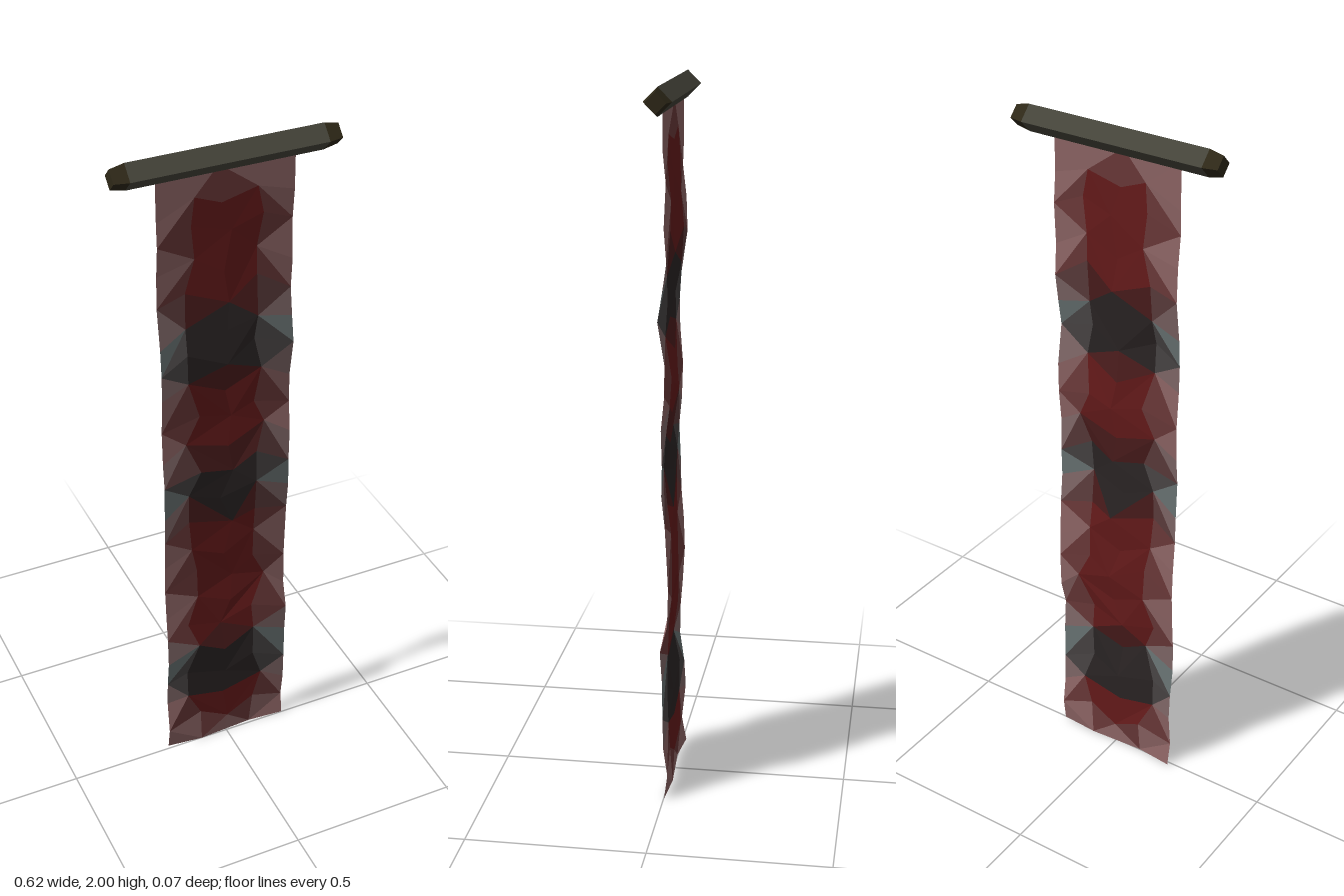
import * as THREE from 'three';

const HALF_W = 0.192, TOP = 1.945, ROWS = 21;

// Small seeded random in -1..1
function seeded(seed) {
  let s = seed;
  return () => ((s = (s * 16807) % 2147483647) / 2147483647) * 2 - 1;
}

// Depth of the cloth's ripples from bottom to top: [y, z]
const RIPPLE = [[0, -0.004], [0.2, -0.004], [0.37, 0.011], [0.6, -0.008], [0.8, 0], [0.95, 0.011],
  [1.18, -0.005], [1.37, 0.01], [1.55, -0.007], [1.75, -0.002], [1.84, 0], [TOP, 0]];

function rippleAt(y) {
  const i = Math.max(1, RIPPLE.findIndex((p) => p[0] >= y));
  const [y0, z0] = RIPPLE[i - 1], [y1, z1] = RIPPLE[i];
  return THREE.MathUtils.lerp(z0, z1, THREE.MathUtils.smoothstep(y, y0, y1));
}

// Faded cloth: rows are stain level, columns are number of hem corners
const COLORS = [
  [0x641a1a, 0x693838, 0x8c6464],
  [0x4a1c1c, 0x5c3c3c, 0x7e6666],
  [0x2a2424, 0x474343, 0x687272],
];
const STAINS = [0.28, 0.97, 1.43];

function createBanner() {
  const banner = new THREE.Group();
  banner.name = 'banner';
  const rand = seeded(4211);

  // Jittered grid of cloth points; the hem stays straight
  const columns = [-HALF_W, -0.105, 0, 0.105, HALF_W];
  const grid = [];
  for (let r = 0; r <= ROWS; r++) {
    grid.push(columns.map((cx, c) => {
      const side = c === 0 || c === 4, end = r === 0 || r === ROWS;
      const stagger = c % 2 ? 0.02 : -0.02;
      const x = side ? cx : cx + rand() * 0.026;
      const y = end ? (r / ROWS) * TOP : (r / ROWS) * TOP + stagger + rand() * 0.016;
      const calm = r >= ROWS - 1 ? 0 : 1;
      const z = rippleAt(y) + calm * rand() * 0.007;
      return { p: new THREE.Vector3(x, y, z), hem: side || end };
    }));
  }

  // Sort faces by colour
  const faces = new Map();
  const addFace = (...corners) => {
    const mid = corners.reduce((v, k) => v.add(k.p), new THREE.Vector3()).divideScalar(3);
    const hem = Math.min(2, corners.filter((k) => k.hem).length);
    const d = Math.min(...STAINS.map((s) => Math.hypot(mid.y - s, mid.x * 0.35)));
    const stain = d < 0.085 ? 2 : d < 0.135 ? 1 : 0;
    const color = COLORS[stain][hem];
    if (!faces.has(color)) faces.set(color, []);
    corners.forEach((k) => faces.get(color).push(k.p));
  };
  for (let r = 0; r < ROWS; r++) {
    for (let c = 0; c < 4; c++) {
      const a = grid[r][c], b = grid[r][c + 1], d = grid[r + 1][c], e = grid[r + 1][c + 1];
      if ((r + c) % 2) { addFace(a, b, e); addFace(a, e, d); }
      else { addFace(a, b, d); addFace(b, e, d); }
    }
  }

  // One mesh per colour
  let n = 0;
  for (const [color, points] of faces) {
    const geometry = new THREE.BufferGeometry().setFromPoints(points);
    geometry.computeVertexNormals();
    const mesh = new THREE.Mesh(geometry, new THREE.MeshStandardMaterial({
      color, flatShading: true, side: THREE.DoubleSide }));
    mesh.name = `clothPatch${++n}`;
    banner.add(mesh);
  }
  return banner;
}

// Four-sided rod on its corner, with tapered ends
function createRod() {
  const rod = new THREE.Group();
  rod.name = 'rod';
  const add = (name, rTop, rBottom, length, x, open, color) => {
    const geometry = new THREE.CylinderGeometry(rTop, rBottom, length, 4, 1, open);
    geometry.rotateZ(-Math.PI / 2);
    const mesh = new THREE.Mesh(geometry, new THREE.MeshStandardMaterial({ color, flatShading: true }));
    mesh.name = name;
    mesh.position.x = x;
    rod.add(mesh);
  };
  add('rodShaft', 0.037, 0.037, 0.54, 0, true, 0x45443a);
  add('leftRodEnd', 0.028, 0.037, 0.04, 0.29, false, 0x2e2818);
  add('rightRodEnd', 0.037, 0.028, 0.04, -0.29, false, 0x2e2818);
  rod.position.y = 1.963;
  return rod;
}

export function createModel() {
  const model = new THREE.Group();
  model.name = 'hangingBanner';
  model.add(createBanner(), createRod());
  return model;
}
